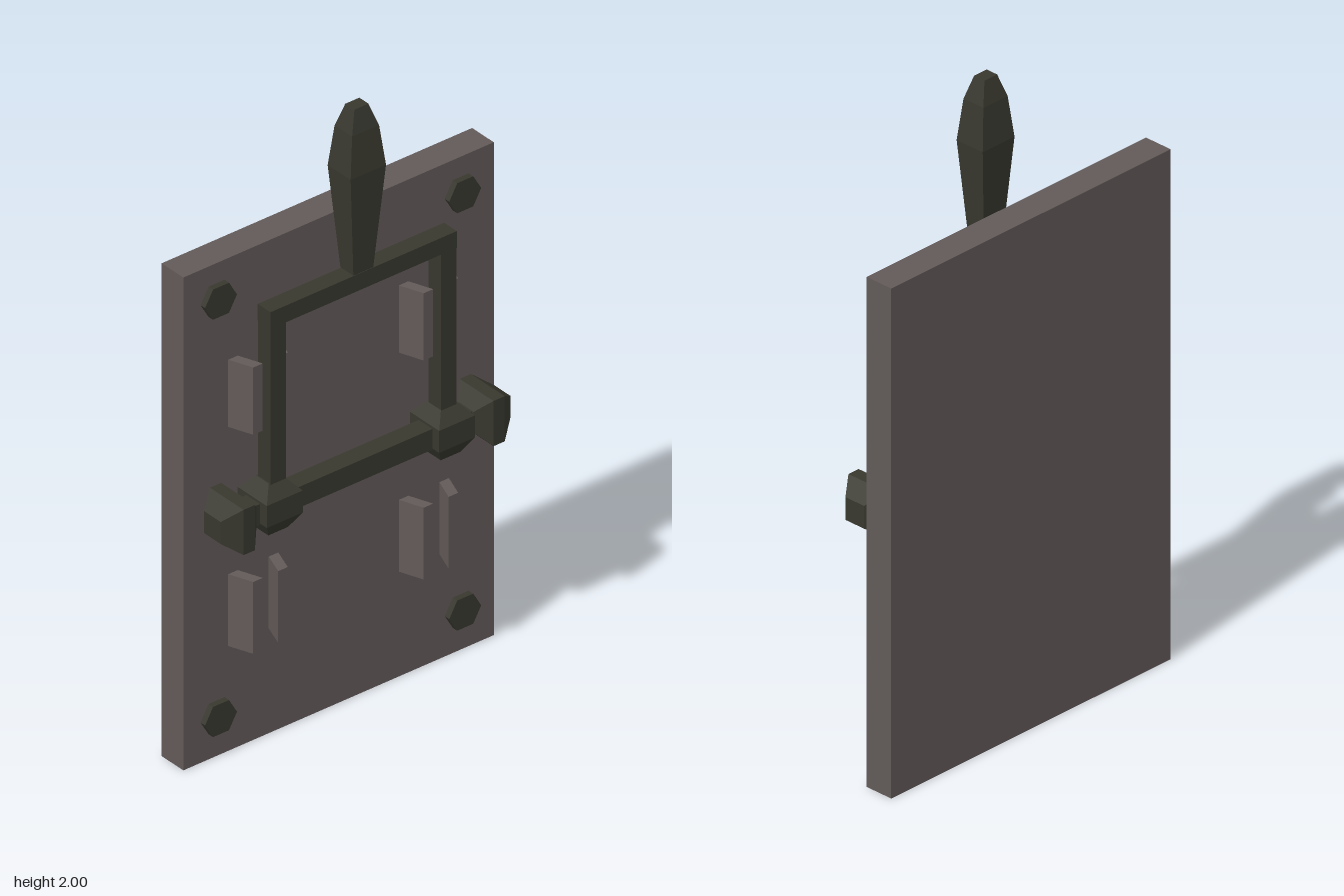
import * as THREE from 'three';

const plateMat = new THREE.MeshStandardMaterial({ color: 0x625a59 });
const ironMat = new THREE.MeshStandardMaterial({ color: 0x38382f });
plateMat.name = 'warm grey plate';
ironMat.name = 'dark iron';

const AXIS_Y = 0.82; // hinge height
const AXIS_Z = 0.052; // hinge depth
const PLATE_FRONT = -0.03;

// Square-section solid along y; profile rows are [half width, height]
function squareLoft(profile) {
  const pts = profile.map(([h, y]) => new THREE.Vector2(h * Math.SQRT2, y));
  pts.unshift(new THREE.Vector2(0, pts[0].y));
  pts.push(new THREE.Vector2(0, pts[pts.length - 1].y));
  const geo = new THREE.LatheGeometry(pts, 4, Math.PI / 4).toNonIndexed();
  geo.computeVertexNormals();
  return geo;
}

export function createModel() {
  const model = new THREE.Group();
  model.name = 'wallLeverSwitch';

  const add = (name, geo, mat, x, y, z, parent = model) => {
    const mesh = new THREE.Mesh(geo, mat);
    mesh.name = name;
    mesh.position.set(x, y, z);
    parent.add(mesh);
    return mesh;
  };
  const box = (name, w, h, d, mat, x, y, z, parent) =>
    add(name, new THREE.BoxGeometry(w, h, d), mat, x, y, z, parent);

  // Back plate
  box('backPlate', 1.106, 1.613, 0.095, plateMat, 0, 0.8065, -0.0775);

  // Corner bolts with hexagonal heads
  const boltGeo = new THREE.CylinderGeometry(0.057, 0.057, 0.03, 6).toNonIndexed();
  boltGeo.computeVertexNormals();
  boltGeo.rotateY(Math.PI / 2);
  boltGeo.rotateX(Math.PI / 2);
  for (const x of [-0.435, 0.435]) {
    for (const y of [0.132, 1.498]) add('cornerBolt', boltGeo, ironMat, x, y, -0.025);
  }

  // Contact clips: pairs of blades leaning towards each other at the front
  const clip = (baseX, tipX, h) => {
    const w = 0.034;
    const s = new THREE.Shape([
      new THREE.Vector2(baseX, 0.035),
      new THREE.Vector2(baseX + w, 0.035),
      new THREE.Vector2(tipX + w, -0.045),
      new THREE.Vector2(tipX, -0.045),
    ]);
    const geo = new THREE.ExtrudeGeometry(s, { depth: h, bevelEnabled: false });
    return geo.rotateX(-Math.PI / 2); // shape y becomes -z, depth becomes height
  };
  for (const [y0, y1] of [[0.343, 0.578], [1.06, 1.28]]) {
    for (const [b, t] of [[0.213, 0.242], [0.361, 0.331]]) {
      add('contactClip', clip(b, t, y1 - y0), plateMat, 0, y0, 0);
      add('contactClip', clip(-b - 0.034, -t - 0.034, y1 - y0), plateMat, 0, y0, 0);
    }
  }

  // Swinging lever
  const lever = new THREE.Group();
  lever.name = 'lever';
  model.add(lever);

  box('hingeBar', 0.8, 0.068, 0.06, ironMat, 0, AXIS_Y, AXIS_Z, lever);
  box('topBar', 0.664, 0.055, 0.056, ironMat, 0, 1.4375, AXIS_Z, lever);

  const collarGeo = squareLoft([[0.035, -0.08], [0.064, -0.03], [0.064, 0.042], [0.028, 0.083]]);
  const knobGeo = squareLoft([[0.032, 0.385], [0.074, 0.425], [0.074, 0.465], [0.036, 0.516]]);
  for (const side of [-1, 1]) {
    box('leverArm', 0.055, 0.6, 0.055, ironMat, side * 0.304, 1.11, AXIS_Z, lever);
    add('armCollar', collarGeo, ironMat, side * 0.307, AXIS_Y, AXIS_Z - 0.004, lever);
    const knob = add('endKnob', knobGeo, ironMat, 0, AXIS_Y, AXIS_Z, lever);
    knob.rotation.z = -side * Math.PI / 2;
  }

  // Tapered grip
  const grip = add('grip',
    squareLoft([[0.035, 1.46], [0.063, 1.8], [0.048, 1.93], [0.025, 2.0]]),
    ironMat, 0, 0, 0.05, lever);
  grip.scale.z = 0.8;

  return model;
}
